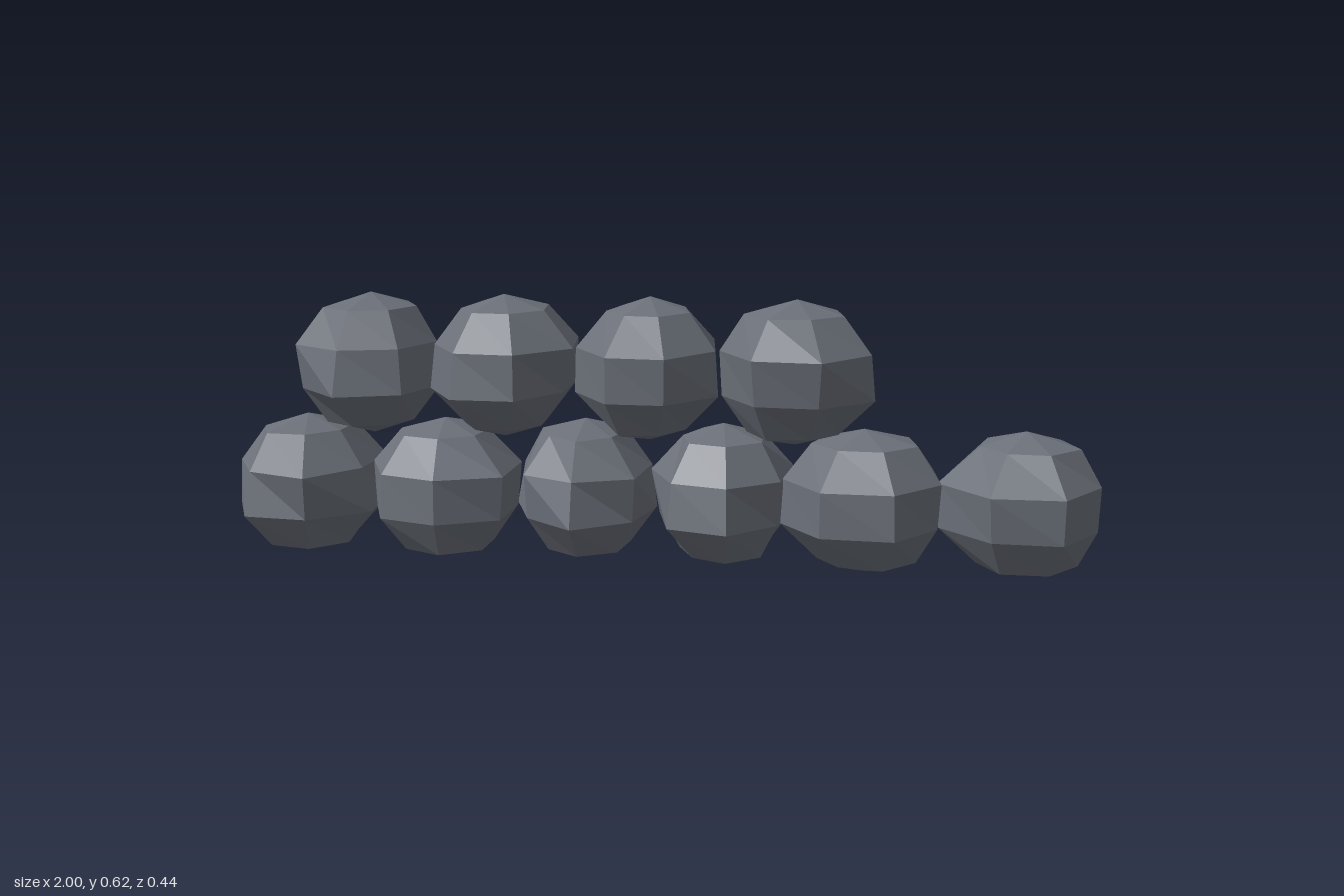
import * as THREE from 'three';

const SIDES = 7, RINGS = 5, HALF_HEIGHT = 0.165;

// Small seeded generator for repeatable rock shapes
function seeded(seed) {
  let s = seed * 7919 + 17;
  return () => {
    s = (s * 16807) % 2147483647;
    return s / 2147483647;
  };
}

// Faceted boulder: a 7 x 5 sphere with each ring corner pushed in or out,
// then fitted to the given x and z extents
function boulderGeometry([x0, x1, z0, z1, spin], seed) {
  const geo = new THREE.SphereGeometry(1, SIDES, RINGS);
  const pos = geo.attributes.position;
  const rand = seeded(seed);
  for (let i = 0; i < 5; i++) rand();
  const push = Array.from({ length: (RINGS + 1) * SIDES }, () => 0.9 + 0.2 * rand());

  for (let i = 0; i < pos.count; i++) {
    const ring = Math.floor(i / (SIDES + 1));
    const col = (i % (SIDES + 1)) % SIDES;
    const r = Math.sin((ring / RINGS) * Math.PI) * push[ring * SIDES + col];
    const a = THREE.MathUtils.degToRad(spin) - (col / SIDES) * Math.PI * 2;
    pos.setXYZ(i, Math.cos(a) * r, Math.cos((ring / RINGS) * Math.PI) * HALF_HEIGHT, Math.sin(a) * r);
  }

  geo.computeBoundingBox();
  const { min, max } = geo.boundingBox;
  for (let i = 0; i < pos.count; i++) {
    pos.setX(i, THREE.MathUtils.mapLinear(pos.getX(i), min.x, max.x, x0, x1));
    pos.setZ(i, THREE.MathUtils.mapLinear(pos.getZ(i), min.z, max.z, z0, z1));
  }
  const flat = geo.toNonIndexed();
  flat.computeVertexNormals();
  return flat;
}

export function createModel() {
  const model = new THREE.Group();
  model.name = 'boulderWall';
  const stone = new THREE.MeshStandardMaterial({ color: 0x6b7079, flatShading: true });
  stone.name = 'slate grey stone';

  // Each boulder: left x, right x, back z, front z, spin in degrees
  const courses = [
    {
      name: 'lowerCourse', y: HALF_HEIGHT, boulders: [
        [-1.0, -0.66, -0.21, 0.21, -81],
        [-0.68, -0.33, -0.19, 0.19, -70],
        [-0.345, -0.01, -0.21, 0.19, -65],
        [-0.015, 0.31, -0.21, 0.19, -75],
        [0.29, 0.65, -0.2, 0.19, -88],
        [0.64, 1.0, -0.21, 0.18, -90],
      ],
    },
    {
      name: 'upperCourse', y: 0.455, boulders: [
        [-0.83, -0.51, -0.185, 0.21, -105],
        [-0.52, -0.18, -0.22, 0.2, -87],
        [-0.18, 0.15, -0.22, 0.21, -88],
        [0.15, 0.5, -0.21, 0.215, -87],
      ],
    },
  ];

  // Two stacked rows of boulders
  courses.forEach((course, c) => {
    const row = new THREE.Group();
    row.name = course.name;
    row.position.y = course.y;
    course.boulders.forEach((b, i) => {
      const mesh = new THREE.Mesh(boulderGeometry(b, c * 10 + i + 1), stone);
      mesh.name = `boulder${i + 1}`;
      row.add(mesh);
    });
    model.add(row);
  });
  return model;
}
